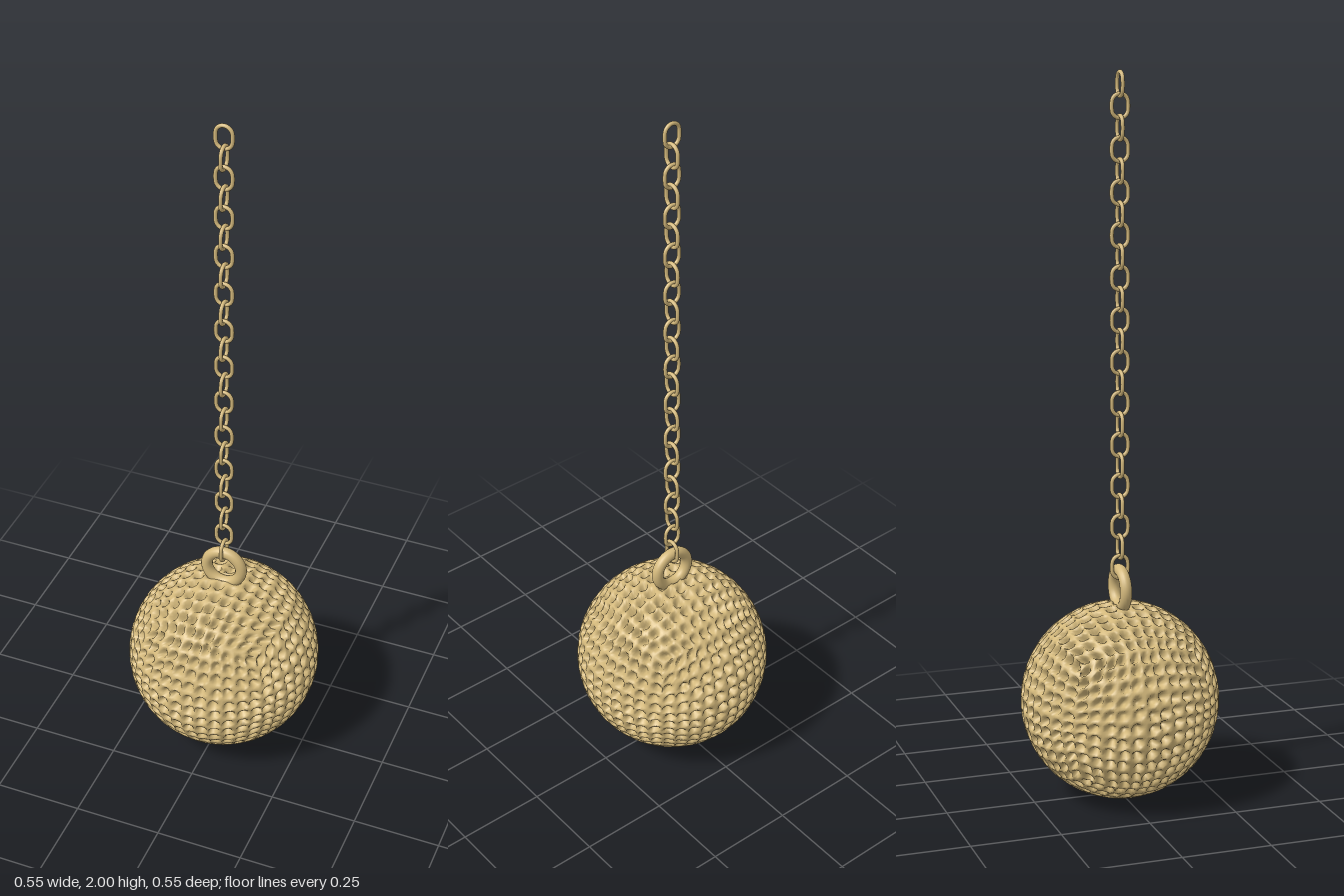
import * as THREE from 'three';
import { mergeVertices } from 'three/addons/utils/BufferGeometryUtils.js';

const BALL_R = 0.276;
const CELLS = 11;   // pits along each side of a cube face
const STEPS = 6;    // grid steps per pit

// Repeatable pseudo-random number in 0..1
function hash(a, b, c) {
  const s = Math.sin(a * 127.1 + b * 311.7 + c * 74.7) * 43758.5453;
  return s - Math.floor(s);
}

// Depth of the woven surface below the outer radius at face coordinates u, v (-1..1)
function pitDepth(u, v, face) {
  const gu = (u + 1) / 2 * CELLS, gv = (v + 1) / 2 * CELLS;
  const i = Math.min(CELLS - 1, Math.floor(gu)), j = Math.min(CELLS - 1, Math.floor(gv));
  const cu = i + 0.5 + (hash(i, j, face) - 0.5) * 0.3;
  const cv = j + 0.5 + (hash(j, i, face + 9) - 0.5) * 0.3;
  const slant = (i + j) % 2 ? 0.35 : -0.35;
  const du = gu - cu, dv = gv - cv;
  const d = Math.hypot(du + slant * dv, dv - slant * du * 0.5);
  const pit = 0.024 * (1 - THREE.MathUtils.smoothstep(d, 0.12, 0.42));
  // Strands pass over and under each other, flattening out at face borders
  const weave = 0.004 * Math.sin(gu * Math.PI) * Math.sin(gv * Math.PI);
  return pit + Math.abs(weave);
}

// Cube subdivided, rounded into a ball and pitted
function wovenBall() {
  const n = CELLS * STEPS;
  let geo = new THREE.BoxGeometry(2, 2, 2, n, n, n);
  const pos = geo.attributes.position, nor = geo.attributes.normal;
  const p = new THREE.Vector3();
  for (let k = 0; k < pos.count; k++) {
    p.fromBufferAttribute(pos, k);
    const axis = [0, 1, 2].find((a) => Math.abs(nor.getComponent(k, a)) > 0.5);
    const face = axis * 2 + (nor.getComponent(k, axis) > 0 ? 1 : 0);
    const u = p.getComponent((axis + 1) % 3), v = p.getComponent((axis + 2) % 3);
    const depth = pitDepth(u, v, face);
    // Tangent mapping keeps the pits even in size
    p.set(...p.toArray().map((c) => Math.tan(c * Math.PI / 4)));
    p.setLength(BALL_R - depth);
    pos.setXYZ(k, p.x, p.y, p.z);
  }
  geo.deleteAttribute('normal');
  geo.deleteAttribute('uv');
  geo = mergeVertices(geo, 1e-5);
  geo.computeVertexNormals();
  return geo;
}

// Oval chain link standing in the xy plane
function linkGeometry() {
  const points = [];
  for (let k = 0; k < 16; k++) {
    const a = (k + 0.5) / 16 * Math.PI * 2;
    points.push(new THREE.Vector3(
      0.0225 * Math.cos(a), 0.0225 * Math.sin(a) + Math.sign(Math.sin(a)) * 0.0095, 0));
  }
  return new THREE.TubeGeometry(new THREE.CatmullRomCurve3(points, true), 40, 0.0055, 10, true);
}

export function createModel() {
  const model = new THREE.Group();
  model.name = 'ballOnChain';
  const gold = new THREE.MeshStandardMaterial({ color: 0xd4b97c });
  gold.name = 'pale gold';

  const ball = new THREE.Mesh(wovenBall(), gold);
  ball.name = 'wovenBall';
  ball.position.y = BALL_R;
  model.add(ball);

  const ring = new THREE.Mesh(new THREE.TorusGeometry(0.052, 0.0165, 16, 48), gold);
  ring.name = 'hangingRing';
  ring.position.y = 0.592;
  model.add(ring);

  // Links alternate by a quarter turn, the top one facing front
  const chain = new THREE.Group();
  chain.name = 'chain';
  const link = linkGeometry();
  for (let k = 0; k < 24; k++) {
    const mesh = new THREE.Mesh(link, gold);
    mesh.name = 'chainLink';
    mesh.position.y = 1.9625 - k * 0.0569;
    mesh.rotation.y = k % 2 ? Math.PI / 2 : 0;
    chain.add(mesh);
  }
  model.add(chain);
  return model;
}
